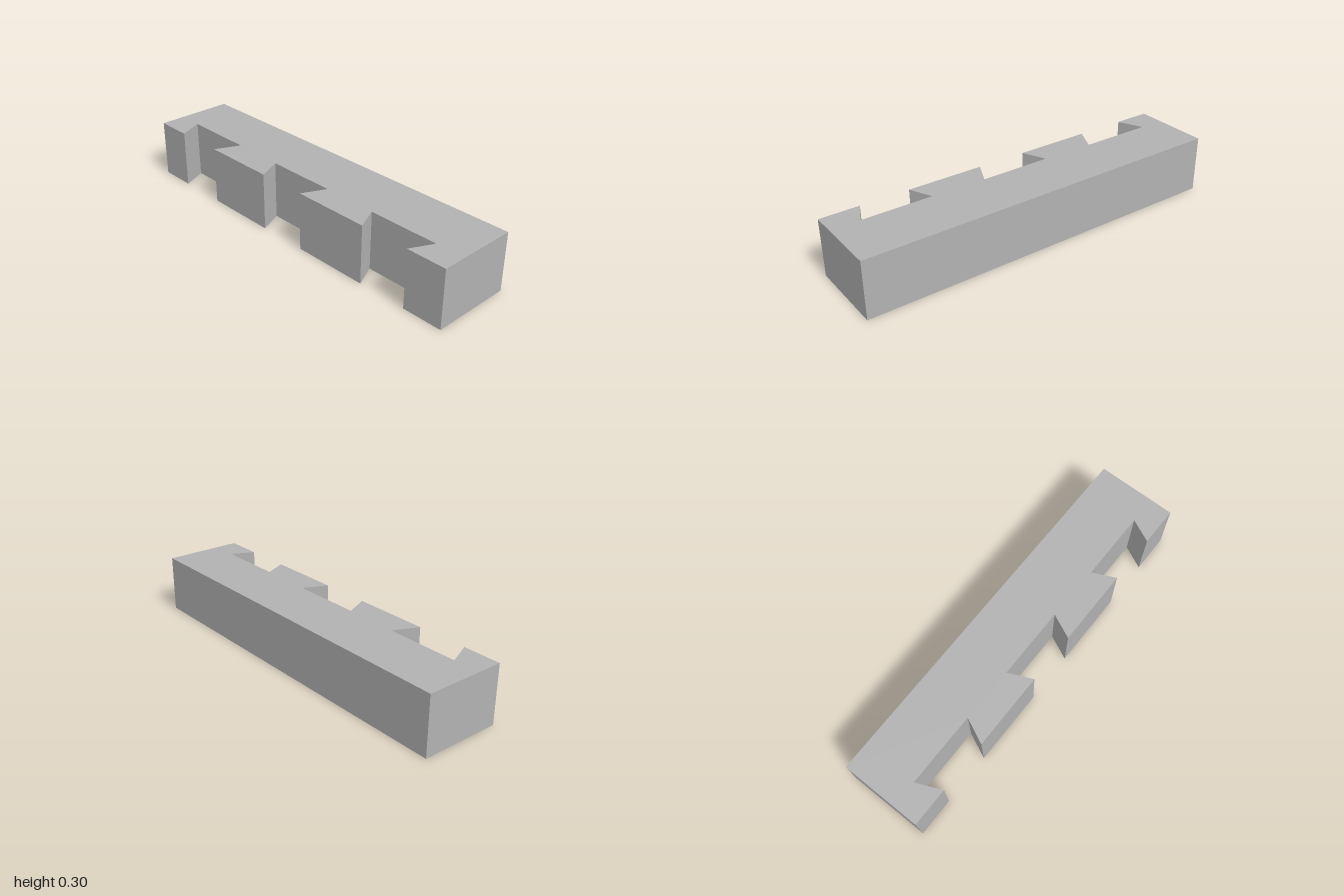
import * as THREE from 'three';

const HALF_WIDTH = 0.21, HEIGHT = 0.304, HALF_LENGTH = 1;

// Dovetail slots along the right side: mouth and floor z ranges, floor x
const SLOTS = [
  { mouth: [-0.803, -0.535], floor: [-0.862, -0.476], x: -0.08 },
  { mouth: [-0.135, 0.13], floor: [-0.192, 0.187], x: -0.085 },
  { mouth: [0.535, 0.793], floor: [0.479, 0.85], x: -0.09 },
];

export function createModel() {
  const group = new THREE.Group();
  group.name = 'dovetailRail';

  const grey = new THREE.MeshStandardMaterial({ color: 0xb2b2b2 });
  grey.name = 'grey';

  // Plan outline: shape x is model x, shape y is model z
  const outline = new THREE.Shape();
  outline.moveTo(HALF_WIDTH, HALF_LENGTH);
  outline.lineTo(HALF_WIDTH, -HALF_LENGTH);
  outline.lineTo(-HALF_WIDTH, -HALF_LENGTH);
  for (const { mouth, floor, x } of SLOTS) {
    outline.lineTo(-HALF_WIDTH, mouth[0]);
    outline.lineTo(x, floor[0]);
    outline.lineTo(x, floor[1]);
    outline.lineTo(-HALF_WIDTH, mouth[1]);
  }
  outline.lineTo(-HALF_WIDTH, HALF_LENGTH);
  outline.closePath();

  // Extrude to full height and lay the plan flat on the ground
  const geometry = new THREE.ExtrudeGeometry(outline, { depth: HEIGHT, bevelEnabled: false });
  geometry.rotateX(Math.PI / 2);
  geometry.translate(0, HEIGHT, 0);

  const rail = new THREE.Mesh(geometry, grey);
  rail.name = 'slottedRail';
  group.add(rail);
  return group;
}
